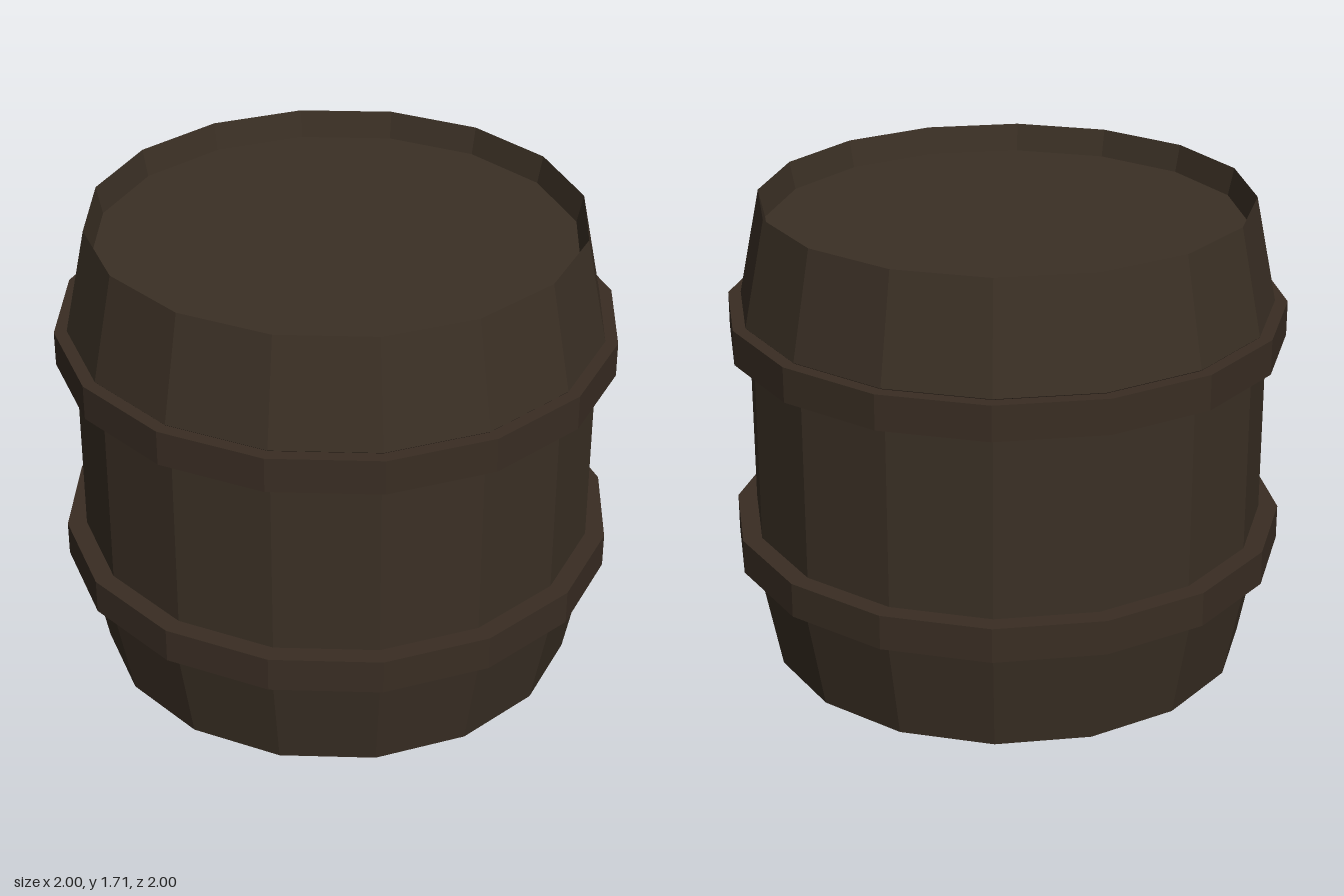
import * as THREE from 'three';

const SIDES = 16;

// Faceted ring or shell from a [radius, height] profile, listed so the outside runs upward
function turned(name, profile, material) {
  const points = profile.map(([r, y]) => new THREE.Vector2(r, y));
  const geometry = new THREE.LatheGeometry(points, SIDES).toNonIndexed();
  geometry.computeVertexNormals();
  const mesh = new THREE.Mesh(geometry, material);
  mesh.name = name;
  return mesh;
}

export function createModel() {
  const wood = new THREE.MeshStandardMaterial({ color: 0x3b3025, flatShading: true });
  wood.name = 'darkWood';
  const hoopBrown = new THREE.MeshStandardMaterial({ color: 0x392d23, flatShading: true });
  hoopBrown.name = 'hoopBrown';

  const barrel = new THREE.Group();
  barrel.name = 'barrel';

  // Staves: tapered ends, straight waist and a raised rim at both ends
  barrel.add(turned('staves', [
    [0.85, 0.07], [0.87, 0], [0.945, 0.39], [0.93, 0.42],
    [0.93, 1.3], [0.955, 1.327], [0.877, 1.71], [0.855, 1.61],
  ], wood));

  // Recessed end boards
  barrel.add(turned('bottomBoard', [[0, 0.07], [0.85, 0.07]], wood));
  barrel.add(turned('lid', [[0.855, 1.61], [0, 1.61]], wood));

  // Two hoops around the waist
  for (const [name, y] of [['lowerHoop', 0.393], ['upperHoop', 1.197]]) {
    barrel.add(turned(name, [
      [0.9, y], [1, y], [1, y + 0.127], [0.9, y + 0.127],
    ], hoopBrown));
  }
  return barrel;
}
